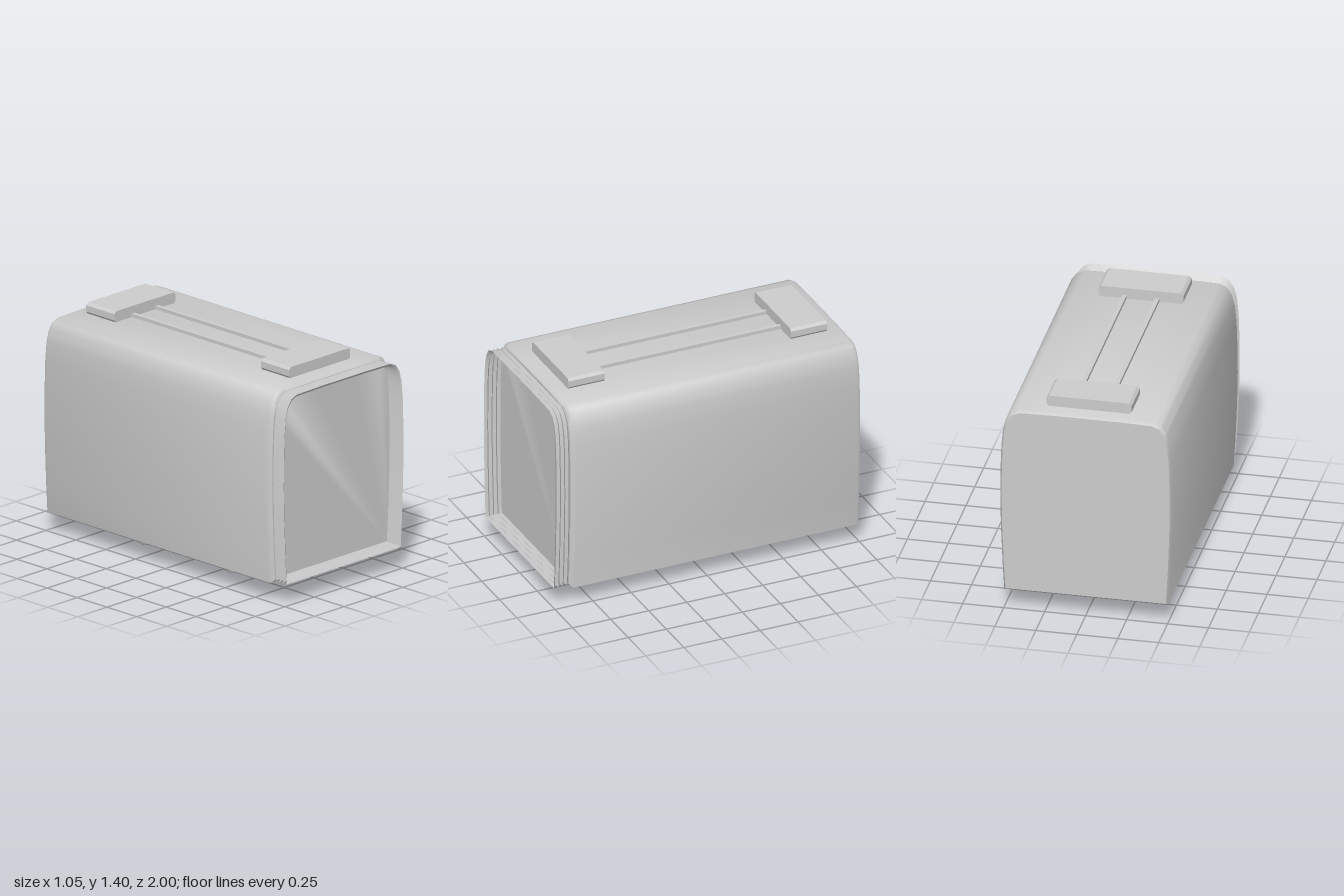
import * as THREE from 'three';
import { toCreasedNormals } from 'three/addons/utils/BufferGeometryUtils.js';

// Right half of the wagon cross-section, bottom to roof
const HALF = [
  [0.5, 0.12], [0.511, 0.3], [0.521, 0.55], [0.525, 0.75], [0.523, 0.93], [0.518, 1.08],
  [0.508, 1.19], [0.49, 1.26], [0.458, 1.308], [0.41, 1.328], [0.2, 1.332],
];
const SECTION = [...HALF, ...HALF.map(([x, y]) => [-x, y]).reverse()];
const MID_Y = 0.726;

// Skin the section along z; each station is [z, inset]
function loft(stations, capped, crease) {
  const rings = stations.map(([z, d]) => SECTION.map(([x, y]) =>
    [x * (1 - d / 0.525), MID_Y + (y - MID_Y) * (1 - d / 0.606), z]));
  const pos = [];
  const n = SECTION.length;
  const tri = (...points) => points.forEach((p) => pos.push(...p));
  for (let i = 0; i < rings.length - 1; i++) {
    for (let j = 0; j < n; j++) {
      const k = (j + 1) % n;
      const [a, b, c, d] = [rings[i][j], rings[i][k], rings[i + 1][k], rings[i + 1][j]];
      tri(a, b, c);
      tri(a, c, d);
    }
  }
  if (capped) {
    const back = rings[0];
    const front = rings[rings.length - 1];
    for (let j = 1; j < n - 1; j++) {
      tri(back[0], back[j + 1], back[j]);
      tri(front[0], front[j], front[j + 1]);
    }
  }
  const geometry = new THREE.BufferGeometry();
  geometry.setAttribute('position', new THREE.Float32BufferAttribute(pos, 3));
  return toCreasedNormals(geometry, crease);
}

export function createModel() {
  const group = new THREE.Group();
  const grey = new THREE.MeshStandardMaterial({ color: 0xcccccc });
  grey.name = 'plain grey';
  grey.side = THREE.DoubleSide;

  function add(name, geometry, x = 0, y = 0, z = 0) {
    const mesh = new THREE.Mesh(geometry, grey);
    mesh.name = name;
    mesh.position.set(x, y, z);
    group.add(mesh);
    return mesh;
  }

  // Closed body with softened ends
  add('body', loft([[-1, 0.012], [-0.98, 0], [0.87, 0], [0.885, 0.005], [0.9, 0.02]], true, 0.7));

  // Open pleated gangway at the front
  const pleats = [];
  for (let i = 0; i <= 7; i++) pleats.push([0.9 + i * 0.1 / 7, i % 2 ? 0.016 : 0.033]);
  add('gangwayBellows', loft(pleats, false, 0.7));

  // Roof boxes with chamfered ends
  const s = new THREE.Shape();
  s.moveTo(-0.24, 1.32);
  s.lineTo(0.24, 1.32);
  s.lineTo(0.26, 1.345);
  s.lineTo(0.26, 1.385);
  s.lineTo(0.243, 1.4);
  s.lineTo(-0.243, 1.4);
  s.lineTo(-0.26, 1.385);
  s.lineTo(-0.26, 1.345);
  const roofBox = new THREE.ExtrudeGeometry(s, { depth: 0.236, bevelEnabled: false });
  add('frontRoofBox', roofBox, 0, 0, 0.563);
  add('rearRoofBox', roofBox, 0, 0, -0.9);

  // Conduits joining the roof boxes
  for (const x of [-0.1, 0.1]) {
    add('roofConduit', new THREE.BoxGeometry(0.026, 0.03, 1.25), x, 1.338, -0.05);
  }

  // Underframe plate, wheels and axles
  add('underframe', new THREE.BoxGeometry(0.72, 0.012, 0.97), 0, 0.121, -0.045);
  const wheelProfile = [[0, -0.024], [0.108, -0.024], [0.12, -0.016], [0.116, -0.008],
    [0.1, 0], [0.092, 0.018], [0.084, 0.024], [0, 0.024]].map(([r, h]) => new THREE.Vector2(r, h));
  const wheel = toCreasedNormals(new THREE.LatheGeometry(wheelProfile, 16), 0.6);
  for (const z of [0.315, -0.405]) {
    for (const side of [-1, 1]) {
      add('wheel', wheel, side * 0.3, 0.12, z).rotation.z = -side * Math.PI / 2;
    }
    add('axle', new THREE.CylinderGeometry(0.013, 0.013, 0.58, 10), 0, 0.118, z).rotation.z = Math.PI / 2;
  }
  return group;
}
